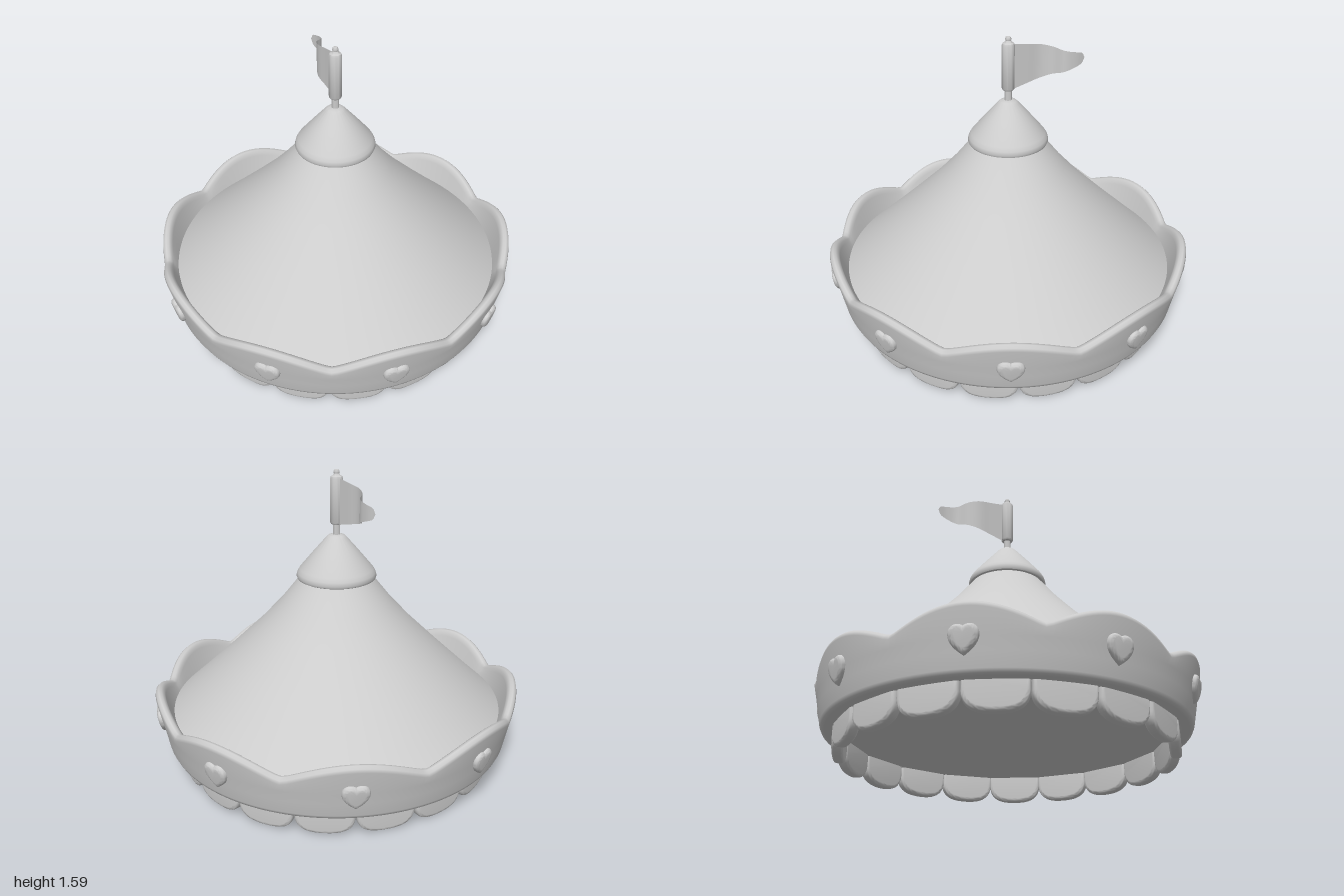
import * as THREE from 'three';
import { toCreasedNormals } from 'three/addons/utils/BufferGeometryUtils.js';

const grey = new THREE.MeshStandardMaterial({ color: 0xcccccc, side: THREE.DoubleSide });
grey.name = 'light grey';

const HEARTS = 9;
const TABS = 18;

function add(parent, name, geometry) {
  const mesh = new THREE.Mesh(geometry, grey);
  mesh.name = name;
  parent.add(mesh);
  return mesh;
}

function lathe(points, segments = 64) {
  const geo = new THREE.LatheGeometry(points.map(([r, y]) => new THREE.Vector2(r, y)), segments);
  return toCreasedNormals(geo, 0.7);
}

// Scallops sit slightly closer together at the front
const warp = (t) => t - 0.05 * Math.sin(t);
const bandRadius = (y) => 0.93 + 0.2 * (y - 0.15);

// Flared band with a scalloped, rounded upper rim
function bandGeometry() {
  const steps = 216, positions = [], index = [];
  let n = 0;
  for (let i = 0; i < steps; i++) {
    const t = (i / steps) * Math.PI * 2, a = warp(t);
    const h = 0.362 + 0.097 * Math.sqrt(Math.cos(t * HEARTS / 2) ** 2 + 0.004);
    const R = bandRadius(h);
    const profile = [
      [0.84, 0.17], [0.85, 0.152], [0.87, 0.148], [0.91, 0.148], [0.926, 0.153], [0.934, 0.17],
      [bandRadius(0.24), 0.24], [bandRadius(0.3), 0.3], [R - 0.004, h - 0.03],
      [R - 0.008, h - 0.012], [R - 0.022, h], [R - 0.038, h - 0.003], [R - 0.052, h - 0.015],
      [R - 0.058, h - 0.035], [0.895, 0.31], [0.87, 0.24],
    ];
    n = profile.length;
    for (const [r, y] of profile) positions.push(r * Math.sin(a), y, r * Math.cos(a));
    for (let j = 0; j < n; j++) {
      const k = (j + 1) % n, next = ((i + 1) % steps) * n, here = i * n;
      index.push(here + j, next + j, next + k, here + j, next + k, here + k);
    }
  }
  const geo = new THREE.BufferGeometry();
  geo.setAttribute('position', new THREE.Float32BufferAttribute(positions, 3));
  geo.setIndex(index);
  geo.computeVertexNormals();
  return geo;
}

// Puffy heart, about 0.13 wide
function heartGeometry() {
  const s = new THREE.Shape();
  s.moveTo(0, -0.058);
  s.bezierCurveTo(-0.025, -0.04, -0.055, -0.015, -0.055, 0.018);
  s.bezierCurveTo(-0.055, 0.055, -0.012, 0.06, 0, 0.034);
  s.bezierCurveTo(0.012, 0.06, 0.055, 0.055, 0.055, 0.018);
  s.bezierCurveTo(0.055, -0.015, 0.025, -0.04, 0, -0.058);
  const geo = new THREE.ExtrudeGeometry(s, {
    depth: 0.012, bevelThickness: 0.018, bevelSize: 0.022, bevelOffset: -0.01, bevelSegments: 5, curveSegments: 10,
  });
  return toCreasedNormals(geo, 0.9);
}

// Rounded hanging tab
function tabGeometry() {
  const s = new THREE.Shape();
  s.moveTo(-0.128, 0.165);
  s.lineTo(-0.128, 0.105);
  s.bezierCurveTo(-0.125, 0.045, -0.075, 0.03, 0, 0.03);
  s.bezierCurveTo(0.075, 0.03, 0.125, 0.045, 0.128, 0.105);
  s.lineTo(0.128, 0.165);
  const geo = new THREE.ExtrudeGeometry(s, {
    depth: 0.02, bevelThickness: 0.018, bevelSize: 0.018, bevelSegments: 4, curveSegments: 12,
  });
  return toCreasedNormals(geo, 0.9);
}

// Waving pennant, tapering towards the back
function flagGeometry() {
  const wave = new THREE.CatmullRomCurve3([
    [0, -0.02], [-0.018, -0.1], [-0.035, -0.18], [-0.022, -0.24], [0.018, -0.29], [0.016, -0.35], [-0.004, -0.405],
  ].map(([x, z]) => new THREE.Vector3(x, 0, z)));
  const geo = new THREE.PlaneGeometry(1, 1, 32, 6);
  const p = geo.attributes.position;
  for (let i = 0; i < p.count; i++) {
    const u = p.getX(i) + 0.5, v = p.getY(i) + 0.5;
    const c = wave.getPoint(u);
    const tip = Math.sqrt(Math.min(1, (1 - u) / 0.05));
    const top = 1.45 + (0.105 - 0.08 * u) * tip;
    const bottom = 1.45 - (0.14 - 0.115 * u) * tip;
    p.setXYZ(i, c.x, bottom + (top - bottom) * v, c.z);
  }
  geo.computeVertexNormals();
  return geo;
}

export function createModel() {
  const model = new THREE.Group();
  model.name = 'tentRoof';
  model.position.z = -0.005;

  // Sloping roof and flat underside
  add(model, 'roof', lathe([[0.9, 0.31], [0.79, 0.41], [0.6, 0.588], [0.417, 0.765], [0.3, 0.892], [0.19, 1.03]], 96));
  const underside = add(model, 'underside', new THREE.CircleGeometry(0.88, 72));
  underside.rotation.x = Math.PI / 2;
  underside.position.y = 0.155;

  // Cap with a rolled lower rim
  add(model, 'cap', lathe([
    [0.17, 1.025], [0.195, 1.018], [0.207, 1.024], [0.212, 1.036], [0.207, 1.055], [0.195, 1.075],
    [0.12, 1.165], [0.055, 1.24], [0.042, 1.252], [0.025, 1.257], [0, 1.258],
  ]));

  // Flagpole, sleeve and finial
  add(model, 'flagpole', lathe([
    [0.019, 1.24], [0.019, 1.31], [0.028, 1.312], [0.033, 1.32], [0.033, 1.55], [0.029, 1.56],
    [0.019, 1.565], [0.014, 1.575], [0.016, 1.583], [0.012, 1.593], [0, 1.597],
  ], 24));
  add(model, 'flag', flagGeometry());

  // Scalloped band with hearts
  add(model, 'band', bandGeometry());
  const heart = heartGeometry();
  for (let i = 0; i < HEARTS; i++) {
    const a = warp((i / HEARTS) * Math.PI * 2), r = bandRadius(0.295) - 0.008;
    const mesh = add(model, 'heart', heart);
    mesh.position.set(r * Math.sin(a), 0.295, r * Math.cos(a));
    mesh.rotation.set(0.19, a, 0, 'YXZ');
  }

  // Hanging tabs beneath the band
  const tab = tabGeometry();
  for (let i = 0; i < TABS; i++) {
    const a = ((i + 0.5) / TABS) * Math.PI * 2, r = 0.822;
    const mesh = add(model, 'hangingTab', tab);
    mesh.position.set(r * Math.sin(a), 0, r * Math.cos(a));
    mesh.rotation.y = a;
  }
  return model;
}
